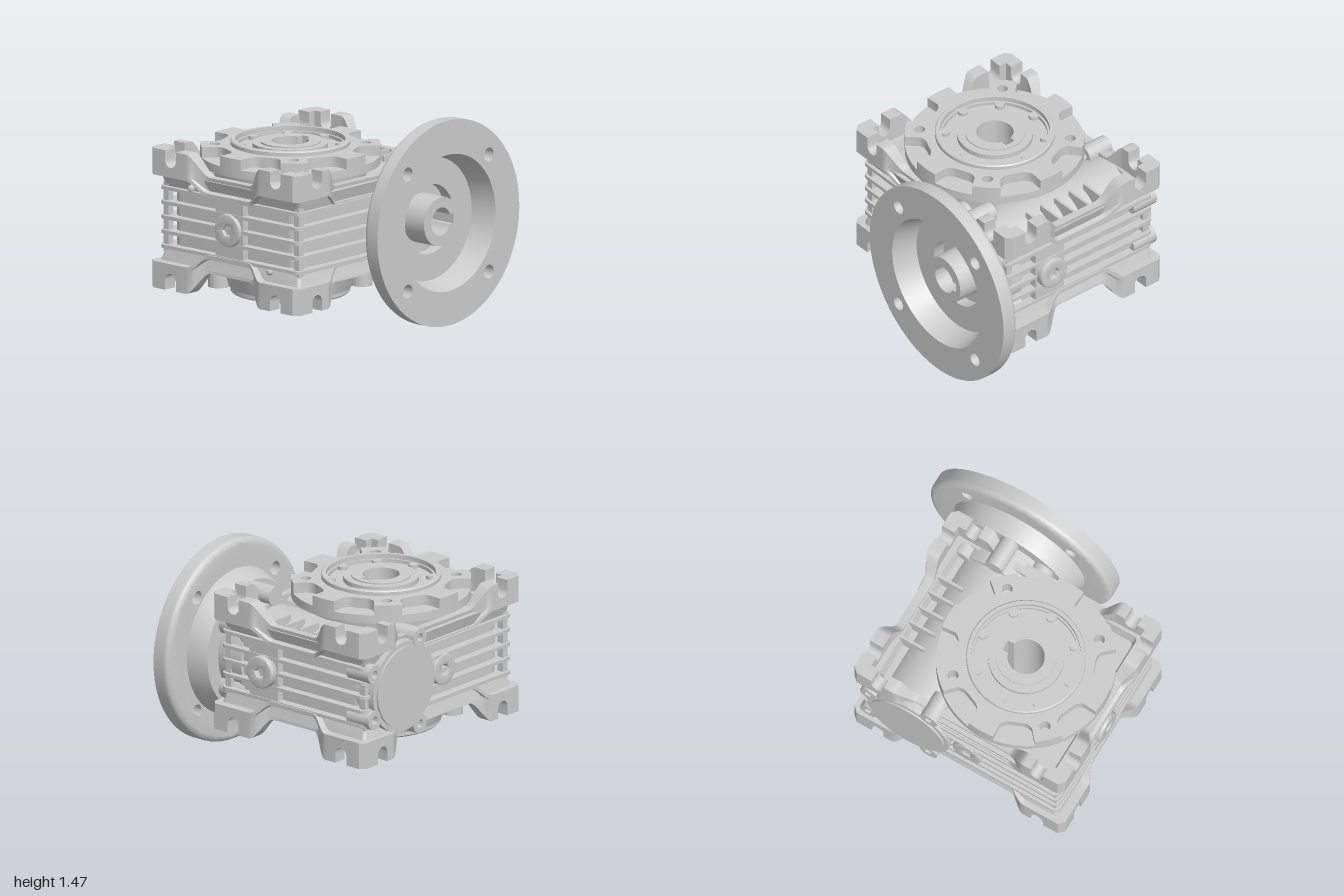
import * as THREE from 'three';
import { toCreasedNormals } from 'three/addons/utils/BufferGeometryUtils.js';

const material = new THREE.MeshStandardMaterial({ color: 0xcccccc });
const V = (x, y) => new THREE.Vector2(x, y);
const { PI, sin, cos, abs, hypot } = Math;

function add(parent, name, geo, x = 0, y = 0, z = 0) {
  const mesh = new THREE.Mesh(toCreasedNormals(geo, 0.55), material);
  mesh.name = name;
  mesh.position.set(x, y, z);
  parent.add(mesh);
  return mesh;
}
const box = (w, h, d) => new THREE.BoxGeometry(w, h, d);
const lathe = (pts, n = 64) => new THREE.LatheGeometry(pts.map(p => V(p[0], p[1])), n);
const circle = (r, x = 0, y = 0) => new THREE.Path().absarc(x, y, r, 0, PI * 2);
const disc = (r, ...holes) => {
  const s = new THREE.Shape().absarc(0, 0, r, 0, PI * 2);
  s.holes.push(...holes);
  return s;
};
// Plan shape (x, z) extruded between two heights
function slab(shape, y0, y1) {
  const g = new THREE.ExtrudeGeometry(shape, { depth: y1 - y0, bevelEnabled: false, curveSegments: 32 });
  return g.rotateX(PI / 2).translate(0, y1, 0);
}
function roundRect(hw, hd, r) {
  const s = new THREE.Shape();
  s.absarc(hw - r, hd - r, r, 0, PI / 2);
  s.absarc(-hw + r, hd - r, r, PI / 2, PI);
  s.absarc(-hw + r, -hd + r, r, PI, PI * 1.5);
  s.absarc(hw - r, -hd + r, r, PI * 1.5, PI * 2);
  s.closePath();
  return s;
}
// Round bore with a keyway pointing to negative shape y
function keyedBore(r, half, reach) {
  const a = Math.asin(half / r), p = new THREE.Path();
  p.absarc(0, 0, r, -PI / 2 + a, PI * 1.5 - a);
  p.lineTo(-half, -reach);
  p.lineTo(half, -reach);
  p.closePath();
  return p;
}
// Cylinder lying along x
const xCyl = (r, x0, x1) =>
  new THREE.CylinderGeometry(r, r, x1 - x0, 40).rotateZ(-PI / 2).translate((x0 + x1) / 2, 0, 0);

// Wall of the mounting rim: lofted columns, with a lip along the dipped middle
function rimWall(L, D, pad, notch) {
  const half = [], edge = L - pad;
  const col = (u, top) => {
    const s = THREE.MathUtils.smoothstep(u, edge - 0.16, edge);
    const inset = u >= L - 1e-6 ? 0.04 : 0.05 * (1 - s);
    half.push([u, 0.205 + 0.105 * s, top ?? 0.345 + 0.155 * s, inset, 0.035 * (1 - s)]);
  };
  for (let i = 0; i <= 12; i++) col(edge - 0.16 + 0.16 * i / 12);
  col(notch - 0.05);
  for (let i = 0; i <= 10; i++) {
    const a = PI * i / 10;
    col(notch - 0.05 * cos(a), 0.43 - 0.05 * sin(a));
  }
  col(notch + 0.05);
  col(L - 0.04);
  col(L);
  const cols = [...half.slice().reverse().map(c => [-c[0], ...c.slice(1)]), ...half];
  const pos = [], idx = [];
  cols.forEach(([u, b, t, inset, recess], k) => {
    const out = D - inset, inn = D - 0.1 - (abs(u) < L - 0.02 ? inset * 0.6 : 0);
    pos.push(u, b, out, u, b + 0.03, out, u, b + 0.04, out - recess,
      u, t, out - recess * 0.6, u, t, inn, u, b, inn);
    if (k === cols.length - 1) return;
    for (let i = 0; i < 6; i++) {
      const a = k * 6 + i, d = k * 6 + (i + 1) % 6;
      idx.push(a, a + 6, d + 6, a, d + 6, d);
    }
  });
  const e = (cols.length - 1) * 6;
  for (let i = 1; i < 5; i++) idx.push(0, i, i + 1, e, e + i + 1, e + i);
  const g = new THREE.BufferGeometry();
  g.setAttribute('position', new THREE.Float32BufferAttribute(pos, 3));
  g.setIndex(idx);
  return g;
}

// Screw plug with a hexagon socket, facing +z
function plug(parent, x, y, z, turn) {
  const g = new THREE.Group();
  const hex = new THREE.Path([0, 1, 2, 3, 4, 5].map(i => V(0.055 * cos(i * PI / 3), 0.055 * sin(i * PI / 3))));
  add(g, 'plugHead', new THREE.ExtrudeGeometry(disc(0.105, hex), {
    depth: 0.03, bevelSize: 0.012, bevelThickness: 0.012, bevelSegments: 2, curveSegments: 24 }));
  add(g, 'plugBase', new THREE.CylinderGeometry(0.12, 0.12, 0.08, 40).rotateX(PI / 2), 0, 0, -0.04);
  g.name = 'screwPlug';
  g.position.set(x, y, z);
  g.rotation.y = turn;
  parent.add(g);
}

export function createModel() {
  const model = new THREE.Group();
  const body = new THREE.Group();
  body.name = 'housing';
  body.position.set(-0.14, 0.74, 0.145);
  model.add(body);
  const WX = -0.005, WZ = 0.15, IZ = -0.405; // wheel axis and worm axis in the housing

  // Core and cooling fins, all pierced by the wheel bore
  const plate = (hw, hd, r) => {
    const s = roundRect(hw, hd, r);
    s.holes.push(circle(0.2, WX, WZ));
    return s;
  };
  add(body, 'core', slab(plate(0.6, 0.735, 0.1), -0.23, 0.23));
  for (let i = -2; i <= 2; i++)
    add(body, 'coolingFin', slab(plate(0.665, 0.795, 0.05), i * 0.105 - 0.012, i * 0.105 + 0.012));
  for (const sx of [-1, 1]) for (const sz of [-1, 1])
    add(body, 'cornerPost', box(0.05, 0.5, 0.05), sx * 0.617, 0, sz * 0.742);

  // Mounting rim, same above and below
  for (const flip of [0, PI]) {
    const rim = new THREE.Group();
    rim.name = flip ? 'lowerRim' : 'upperRim';
    rim.rotation.x = flip;
    body.add(rim);
    for (const k of [0, 1]) {
      add(rim, 'rimWallLong', rimWall(0.7, 0.855, 0.35, 0.495)).rotation.y = k * PI;
      add(rim, 'rimWallSide', rimWall(0.855, 0.7, 0.32, 0.645)).rotation.y = PI / 2 + k * PI;
    }
    const frame = roundRect(0.63, 0.755, 0.03);
    frame.holes.push(roundRect(0.55, 0.68, 0.03));
    const g = slab(frame, 0.2, 0.32), p = g.attributes.position;
    for (let i = 0; i < p.count; i++)
      if (p.getY(i) > 0.3) p.setXYZ(i, p.getX(i) * 1.05, p.getY(i), p.getZ(i) * 1.05);
    add(rim, 'rimSkirt', g);
    // Stiffening ribs by the worm housing
    for (let i = 0; i < 5; i++)
      add(rim, 'stiffeningRib', box(0.02, 0.16, 0.2), -0.26 + i * 0.13, 0.27, (flip ? 1 : -1) * 0.62);
  }

  // Worm housing, end cover and lugs
  add(body, 'wormHousing', xCyl(0.33, -0.6, 0.62), 0, 0, IZ);
  add(body, 'endCover', xCyl(0.33, -0.69, -0.55), 0, 0, IZ);
  add(body, 'coverCap', xCyl(0.295, -0.705, -0.6), 0, 0, IZ);
  const along = (r0, r1, x0, x1) => lathe([[r0, x0], [r1, x0], [r1, x1], [r0, x1], [r0, x0]], 24).rotateZ(-PI / 2);
  for (const d of [62, 152, -62, -152]) {
    const a = d * PI / 180;
    add(body, 'coverLug', along(0.03, 0.07, -0.695, -0.49), 0, 0.36 * sin(a), IZ + 0.36 * cos(a));
  }
  add(body, 'inputMount', xCyl(0.36, 0.5, 0.715), 0, 0, IZ);
  for (const s of [-1, 1]) {
    add(body, 'inputLug', xCyl(0.07, 0.49, 0.712), 0, s * 0.4, IZ);
    for (const t of [-1, 1])
      add(body, 'inputLug', xCyl(0.085, 0.49, 0.712), 0, s * 0.235, IZ + t * 0.27);
  }

  // Plugs on their smooth panels, and small vent screws
  add(body, 'frontPanel', box(0.26, 0.42, 0.1), 0, 0, 0.738);
  add(body, 'backPanel', box(0.26, 0.42, 0.1), 0.27, 0, -0.738);
  plug(body, 0, 0, 0.775, 0);
  plug(body, 0.27, 0, -0.8, PI);
  plug(body, -0.63, 0, 0.06, -PI / 2);
  for (const s of [-1, 1])
    add(body, 'ventScrew', new THREE.SphereGeometry(0.027, 16, 12), s * 0.37, -s * 0.24, 0.775);

  // Wheel output: housing barrel, scalloped flange, bearing ring, keyed hub
  const wheel = new THREE.Group();
  wheel.name = 'wheelOutput';
  wheel.position.set(-0.145, 0, 0.295);
  model.add(wheel);
  add(wheel, 'barrel', lathe([[0.2, 0.24], [0.43, 0.24], [0.45, 0.3], [0.47, 0.38], [0.52, 0.46],
    [0.56, 0.52], [0.52, 0.98], [0.55, 1.13], [0.2, 1.13], [0.2, 0.24]]));
  const boltHoles = () => [0, 1, 2, 3].map(i =>
    circle(0.038, 0.528 * cos(PI / 4 + i * PI / 2), 0.528 * sin(PI / 4 + i * PI / 2)));
  add(wheel, 'flangeBase', slab(disc(0.63, circle(0.37), ...boltHoles()), 1.12, 1.18));
  const star = [];
  for (let i = 0; i < 360; i++) {
    const d = abs((i % 45) - 22.5); // degrees from the middle of a pocket
    const r = d > 13 ? 0.63 : 0.485 + 0.05 * Math.pow(d / 13, 4);
    star.push(V(r * cos(i * PI / 180), r * sin(i * PI / 180)));
  }
  const starShape = new THREE.Shape(star);
  starShape.holes.push(circle(0.37), ...boltHoles());
  add(wheel, 'scallopedFlange', slab(starShape, 1.18, 1.255));
  add(wheel, 'bearingRing', lathe([[0.37, 1.12], [0.42, 1.12], [0.42, 1.28], [0.412, 1.288],
    [0.385, 1.288], [0.385, 1.2], [0.37, 1.2], [0.37, 1.12]]));
  add(wheel, 'bearingSeat', lathe([[0.2, 1.1], [0.386, 1.1], [0.386, 1.23], [0.265, 1.23],
    [0.265, 1.265], [0.2, 1.265], [0.2, 1.1]]));
  for (let i = 0; i < 8; i++) {
    const a = i * PI / 4;
    add(wheel, 'ringScrew', new THREE.CylinderGeometry(0.035, 0.035, 0.05, 20), 0.35 * cos(a), 1.23, 0.35 * sin(a));
  }
  add(wheel, 'hub', slab(disc(0.21, keyedBore(0.13, 0.04, 0.17)), 0.205, 1.275));
  add(wheel, 'bottomRing', lathe([[0.2, 0.21], [0.25, 0.21], [0.255, 0.2], [0.41, 0.2], [0.42, 0.21],
    [0.42, 0.245], [0.2, 0.245], [0.2, 0.21]]));
  for (let i = 0; i < 4; i++) {
    const a = PI / 4 + i * PI / 2;
    add(wheel, 'bottomLug', slab(disc(0.075, circle(0.035)), 0.235, 0.52), 0.5 * cos(a), 0, 0.5 * sin(a));
  }

  // Motor flange: drilled plate with rounded back edge, cone and keyed shaft socket
  const input = new THREE.Group();
  input.name = 'motorFlange';
  input.position.set(0, 0.74, -0.263);
  model.add(input);
  const holes = [-1, 1].flatMap(a => [-1, 1].map(b => circle(0.05, a * 0.42, b * 0.42)));
  const fg = new THREE.ExtrudeGeometry(disc(0.736, circle(0.49), ...holes),
    { depth: 0.13, steps: 13, bevelEnabled: false, curveSegments: 48 });
  const fp = fg.attributes.position;
  for (let i = 0; i < fp.count; i++) {
    const x = fp.getX(i), y = fp.getY(i), d = 0.04 - fp.getZ(i), r = hypot(x, y);
    if (r < 0.7 || d <= 0) continue;
    const k = (r - 0.04 + Math.sqrt(Math.max(0, 0.0016 - d * d))) / r;
    fp.setXY(i, x * k, y * k);
  }
  add(input, 'flangePlate', fg.rotateY(PI / 2).translate(0.71, 0, 0));
  add(input, 'flangeCone', lathe([[0.25, 0.57], [0.47, 0.57], [0.53, 0.715], [0.53, 0.835], [0.49, 0.84],
    [0.44, 0.66], [0.25, 0.66], [0.25, 0.57]], 72).rotateZ(-PI / 2));
  const sg = slab(disc(0.175, keyedBore(0.1, 0.035, 0.13)), 0.56, 0.77);
  add(input, 'shaftSocket', sg.rotateZ(-PI / 2));
  return model;
}
